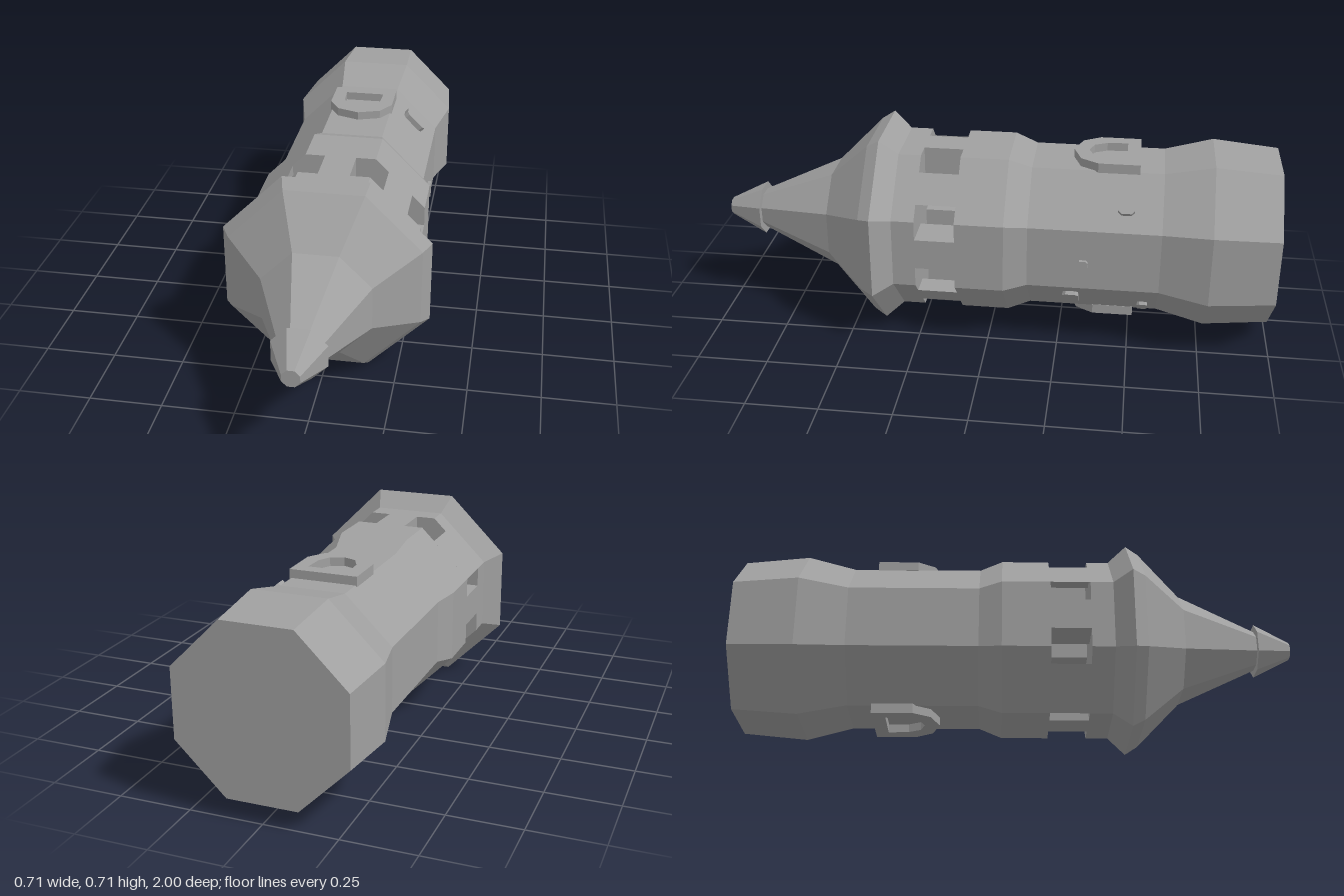
import * as THREE from 'three';

const CY = 0.355; // height of the long axis

export function createModel() {
  const grey = new THREE.MeshStandardMaterial({ color: 0xa0a0a0, flatShading: true });
  const model = new THREE.Group();
  model.name = 'octagonalCraft';
  const hull = new THREE.Group();
  hull.name = 'hull';
  hull.position.y = CY;
  model.add(hull);

  const add = (name, geometry, parent = hull) => {
    const mesh = new THREE.Mesh(geometry, grey);
    mesh.name = name;
    parent.add(mesh);
    return mesh;
  };

  // Closed eight-sided body from [z, half width across flats] pairs
  const octagonBody = (profile) => {
    const k = 1 / Math.cos(Math.PI / 8);
    const pts = profile.map(([z, a]) => new THREE.Vector2(a * k, z));
    pts.unshift(new THREE.Vector2(0, profile[0][0]));
    pts.push(new THREE.Vector2(0, profile[profile.length - 1][0]));
    return new THREE.LatheGeometry(pts, 8, Math.PI / 8).rotateX(Math.PI / 2);
  };
  const shapeOf = (pts) => new THREE.Shape(pts.map(([x, y]) => new THREE.Vector2(x, y)));
  const extrude = (shape, depth) => new THREE.ExtrudeGeometry(shape, { depth, bevelEnabled: false });

  add('rearBody', octagonBody([
    [-1, 0.29], [-0.77, 0.31], [-0.6, 0.27], [-0.14, 0.27], [-0.06, 0.3], [0.11, 0.3],
  ]));
  add('frontBody', octagonBody([
    [0.25, 0.3], [0.33, 0.3], [0.395, 0.355], [0.44, 0.328], [0.59, 0.184], [0.87, 0.066],
  ]));
  add('noseTip', octagonBody([[0.87, 0.09], [1, 0.029]]));

  // Band crossed by square tunnels: what is left between them
  const R = 0.3, C = 0.1243, IN = 0.055, OUT = 0.17, DIAG = R + C - OUT;
  const bandPiece = (name, pts, turn) => {
    const mesh = add(name, extrude(shapeOf(pts), 0.14));
    mesh.position.z = 0.11;
    mesh.rotation.z = turn;
    return mesh;
  };
  bandPiece('windowCore', [[-IN, -IN], [IN, -IN], [IN, IN], [-IN, IN]], 0);
  for (let i = 0; i < 4; i++) {
    const turn = i * Math.PI / 2;
    bandPiece('windowPillar', [[OUT, -IN], [R, -IN], [R, IN], [OUT, IN]], turn);
    bandPiece('windowCornerPost', [[OUT, OUT], [DIAG, OUT], [OUT, DIAG]], turn);
  }
  // Two half-closed window covers on the slanted sides
  const t = 0.003;
  bandPiece('windowCover', [[-R, C], [-DIAG, OUT], [-DIAG + t, OUT], [-R + t, C]].reverse(), 0);
  bandPiece('windowCover', [[-C, -R], [-C, -R + t], [-OUT, -DIAG + t], [-OUT, -DIAG]], 0);

  // Raised shield-shaped frames above and below
  const shield = shapeOf([
    [-0.118, 0.515], [-0.118, 0.37], [-0.08, 0.308], [0, 0.28],
    [0.08, 0.308], [0.118, 0.37], [0.118, 0.515],
  ]);
  shield.holes.push(new THREE.Path([
    [-0.072, 0.468], [0.072, 0.468], [0.068, 0.395], [0.045, 0.35],
    [0, 0.333], [-0.045, 0.35], [-0.068, 0.395],
  ].map(([x, y]) => new THREE.Vector2(x, y))));
  for (const turn of [0, Math.PI]) {
    const geo = extrude(shield, 0.035).rotateX(-Math.PI / 2).translate(0, 0.265, 0);
    add(turn ? 'lowerShieldFrame' : 'upperShieldFrame', geo).rotation.z = turn;
  }

  // Small hatches with clipped corners on the right-hand faces
  const hatch = (angle, along, z, length, width, height) => {
    const l = length / 2, w = width / 2, c = width * 0.2;
    const geo = extrude(shapeOf([
      [-w + c, -l], [w - c, -l], [w, -l + c], [w, l - c],
      [w - c, l], [-w + c, l], [-w, l - c], [-w, -l + c],
    ]), height + 0.01);
    geo.rotateY(Math.PI / 2).translate(0.26, along, z);
    add('hatch', geo).rotation.z = angle;
  };
  hatch(Math.PI / 4, 0, -0.475, 0.095, 0.058, 0.02);
  hatch(0, -0.03, -0.333, 0.06, 0.036, 0.012);
  hatch(-Math.PI / 4, 0.015, -0.293, 0.1, 0.056, 0.014);
  hatch(-Math.PI / 4, -0.05, -0.548, 0.058, 0.036, 0.012);

  return model;
}
